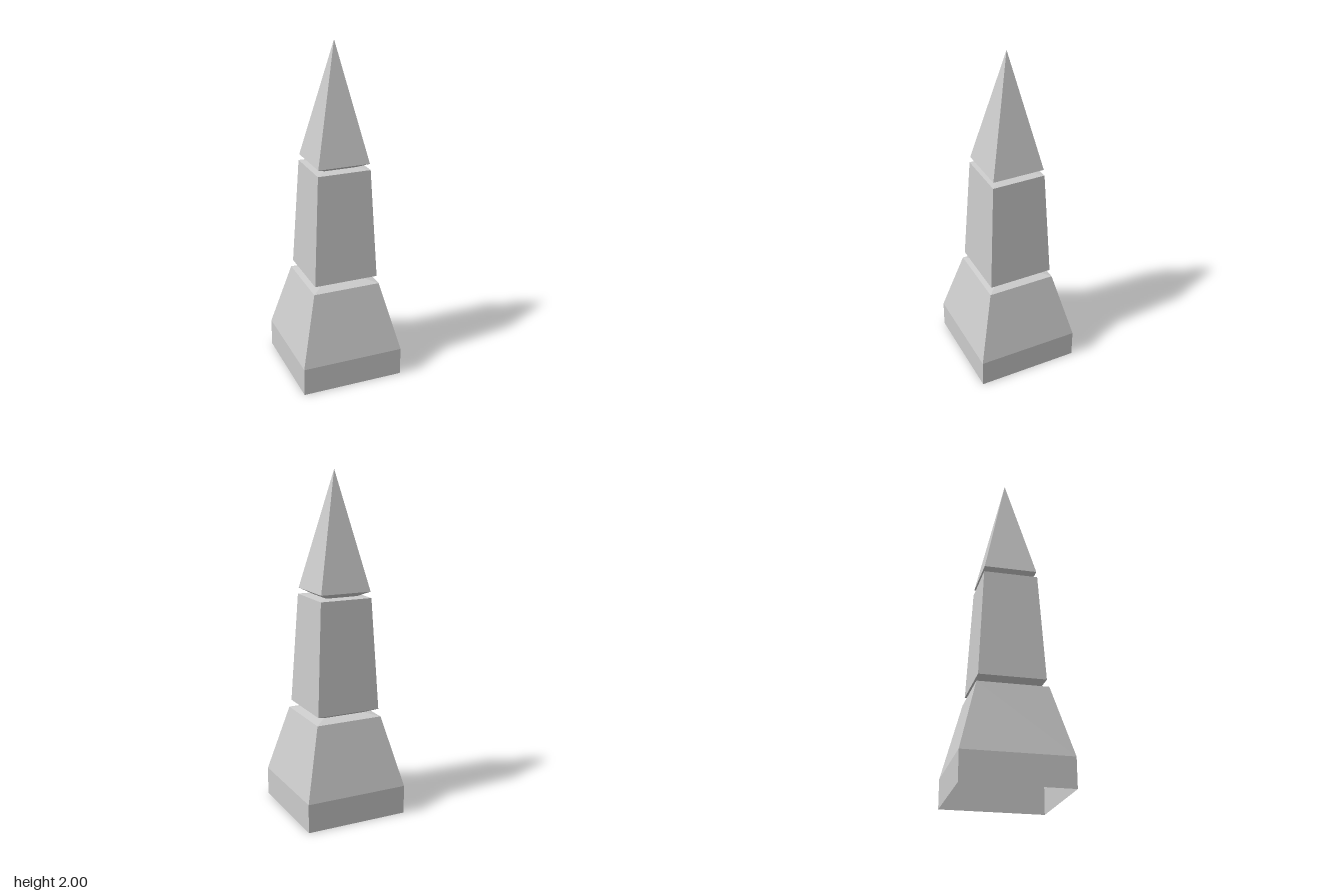
import * as THREE from 'three';

const SIDES = 4;
const TURN = 0.278; // twist of the square plan about the vertical axis

const material = new THREE.MeshStandardMaterial({
  color: 0xcccccc,
  flatShading: true,
  side: THREE.DoubleSide,
});

// Square tier from [corner radius, height] pairs, listed bottom to top
function tier(name, profile) {
  const points = profile.map(([r, y]) => new THREE.Vector2(r, y));
  const mesh = new THREE.Mesh(new THREE.LatheGeometry(points, SIDES, TURN, Math.PI * 2), material);
  mesh.name = name;
  return mesh;
}

export function createModel() {
  const group = new THREE.Group();
  group.name = 'obelisk';

  // Corner radius and height where the tiers meet inside each groove
  const lowerNeck = [0.18, 0.6];
  const upperNeck = [0.137, 1.29];

  group.add(
    // Hollow plinth, open underneath, with sloping shoulders
    tier('base', [[0.437, 0], [0.437, 0.17], [0.287, 0.585], lowerNeck]),
    // Tapered shaft with an undercut foot
    tier('shaft', [lowerNeck, [0.273, 0.63], [0.224, 1.284], upperNeck]),
    // Pointed cap with an undercut foot
    tier('spire', [upperNeck, [0.219, 1.32], [0, 2]]),
  );
  return group;
}
